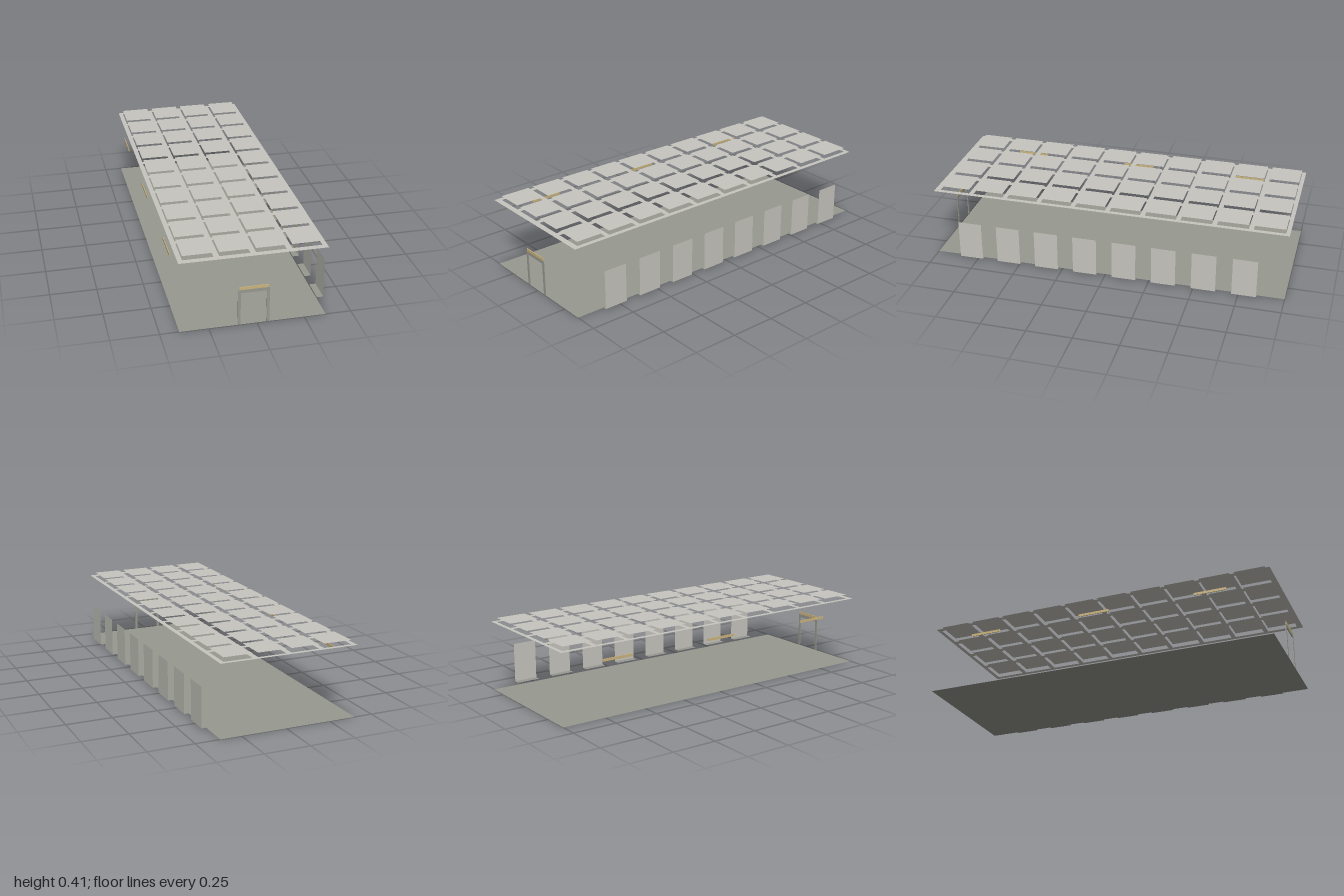
import * as THREE from 'three';

const mat = (name, color, side = THREE.DoubleSide) => {
  const m = new THREE.MeshStandardMaterial({ color, side });
  m.name = name;
  return m;
};

export function createModel() {
  const group = new THREE.Group();
  const plaster = mat('pale plaster', 0xc6c5be);
  const stone = mat('grey stone', 0x979890);
  const wood = mat('light wood', 0xcbb47c, THREE.FrontSide);

  const add = (name, geometry, material) => {
    const mesh = new THREE.Mesh(geometry, material);
    mesh.name = name;
    group.add(mesh);
    return mesh;
  };
  // box given by its minimum and maximum on each axis
  const box = (name, material, x0, x1, y0, y1, z0, z1) =>
    add(name, new THREE.BoxGeometry(x1 - x0, y1 - y0, z1 - z0), material)
      .position.set((x0 + x1) / 2, (y0 + y1) / 2, (z0 + z1) / 2);
  // horizontal sheet facing up
  const sheet = (name, material, w, d, x, y, z) =>
    add(name, new THREE.PlaneGeometry(w, d).rotateX(-Math.PI / 2), material).position.set(x, y, z);

  const X0 = -0.4, X1 = 0.365, MID = (X0 + X1) / 2;

  // floor
  sheet('floor', stone, X1 - X0, 2, MID, 0, 0);

  // coffered ceiling: pierced grid with a raised panel over each opening
  const ceilingY = 0.39, rise = 0.023, pw = 0.157, pd = 0.171;
  const grid = new THREE.Shape([[X0, -1], [X1, -1], [X1, 1], [X0, 1]].map(p => new THREE.Vector2(...p)));
  for (let i = 0; i < 4; i++) {
    for (let j = 0; j < 10; j++) {
      const x = MID + (i - 1.5) * 0.186, z = (j - 4.5) * 0.1972 - 0.005;
      const corners = [[-1, -1], [-1, 1], [1, 1], [1, -1]];
      grid.holes.push(new THREE.Path(corners.map(([a, b]) =>
        new THREE.Vector2(x + a * pw / 2, -z + b * pd / 2))));
      sheet('ceilingPanel', plaster, pw, pd, x, ceilingY + rise, z);
    }
  }
  add('ceilingGrid', new THREE.ShapeGeometry(grid).rotateX(-Math.PI / 2), plaster).position.y = ceilingY;

  // row of window panes with sills on the left side
  for (let i = 0; i < 8; i++) {
    const z = (i - 3.5) * 0.2235;
    add('windowPane', new THREE.PlaneGeometry(0.135, 0.22).rotateY(Math.PI / 2), plaster)
      .position.set(0.4, 0.12, z);
    sheet('windowSill', stone, 0.035, 0.135, 0.3825, 0.01, z);
  }

  // door frame and its wooden lintel
  const z0 = 0.996, z1 = 1;
  box('doorJamb', stone, -0.1, -0.085, 0, 0.183, z0, z1);
  box('doorJamb', stone, 0.05, 0.065, 0, 0.183, z0, z1);
  box('doorHeader', stone, -0.1, 0.065, 0.183, 0.201, z0, z1);
  box('doorLintel', wood, -0.092, 0.059, 0.201, 0.217, z0, z1);

  // wooden rails along the right side
  for (const z of [-0.67, 0, 0.67])
    box('wallRail', wood, -0.402, -0.398, 0.303, 0.317, z - 0.09, z + 0.09);

  return group;
}
